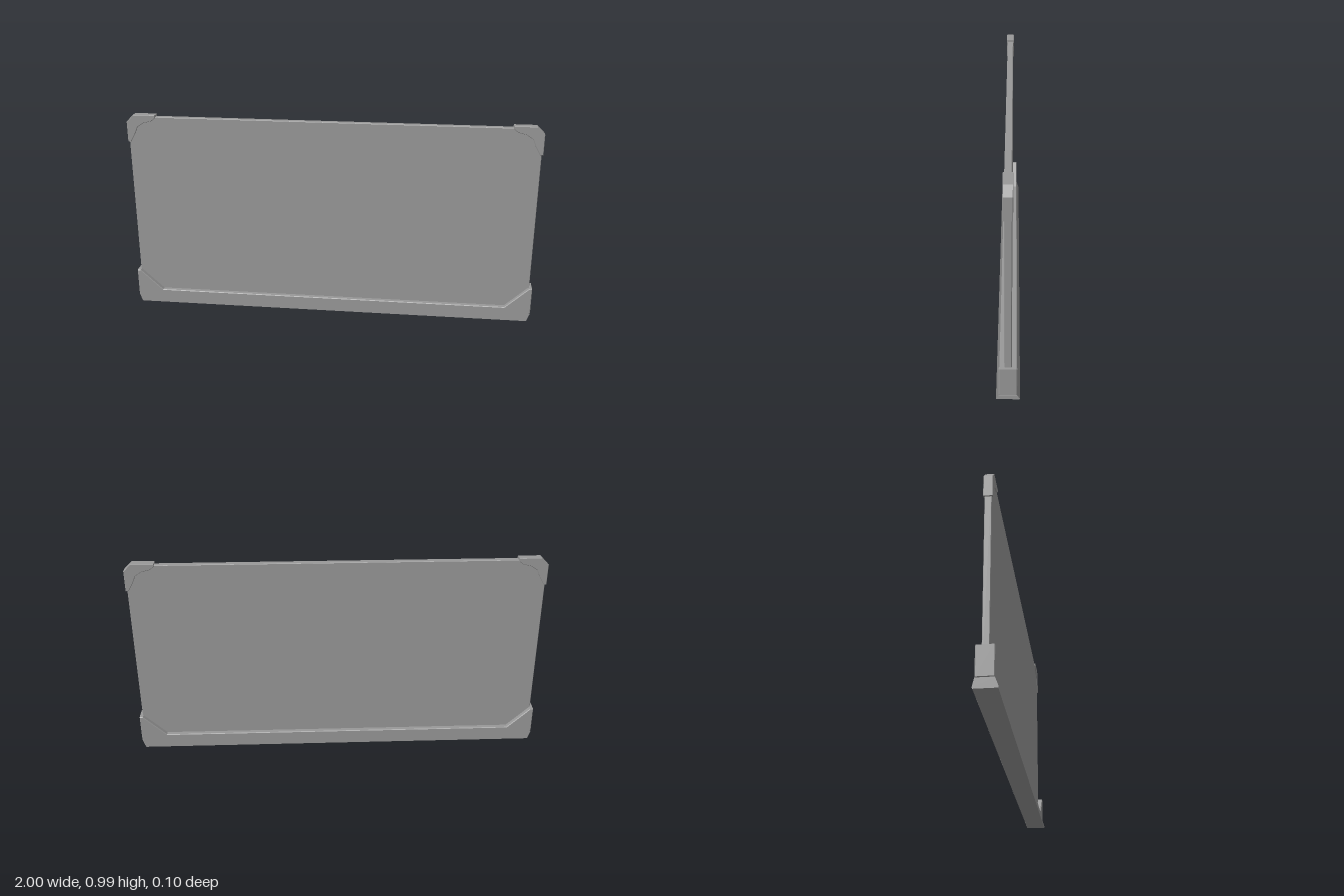
import * as THREE from 'three';

const material = new THREE.MeshStandardMaterial({ color: 0x999999 });

// Plate cut from an outline, centred on z = 0, with a small bevel kept inside the outline
function plate(name, points, thickness, bevel) {
  const shape = new THREE.Shape(points.map(([x, y]) => new THREE.Vector2(x, y)));
  const geometry = new THREE.ExtrudeGeometry(shape, {
    depth: thickness - 2 * bevel,
    bevelEnabled: true,
    bevelThickness: bevel,
    bevelSize: bevel,
    bevelOffset: -bevel,
    bevelSegments: 1,
  });
  geometry.translate(0, 0, -thickness / 2 + bevel);
  const mesh = new THREE.Mesh(geometry, material);
  mesh.name = name;
  return mesh;
}

// Adds the mirrored half of an outline
const mirrored = (half) => [...half, ...half.map(([x, y]) => [-x, y]).reverse()];

export function createModel() {
  const group = new THREE.Group();
  group.name = 'panelOnBase';

  // Thin upright panel, its top corners cut to sit inside the guards
  const panel = [[0.985, 0.02], [0.985, 0.935], [0.945, 0.975]];
  group.add(plate('panel', mirrored(panel), 0.03, 0.002));

  // Base rail with raised ends and sloping inner corners
  const rail = [[0.98, 0.015], [0.998, 0.04], [0.998, 0.17], [0.982, 0.17], [0.87, 0.065]];
  group.add(plate('baseRail', mirrored(rail), 0.076, 0.003));

  // Flared foot: wider in z and shorter in x towards the ground.
  // The box's own normals are kept, so it shades as one surface with the rail.
  const footGeometry = new THREE.BoxGeometry(1, 1, 1, 1, 2, 1);
  const levels = [
    { y: 0, x: 0.978, z: 0.048 },
    { y: 0.005, x: 0.981, z: 0.05 },
    { y: 0.036, x: 0.997, z: 0.038 },
  ];
  const position = footGeometry.attributes.position;
  for (let i = 0; i < position.count; i++) {
    const level = levels[Math.round((position.getY(i) + 0.5) * 2)];
    position.setXYZ(i, Math.sign(position.getX(i)) * level.x, level.y,
      Math.sign(position.getZ(i)) * level.z);
  }
  const foot = new THREE.Mesh(footGeometry, material);
  foot.name = 'flaredFoot';
  group.add(foot);

  // Top corner guards with a chamfered outside and a scalloped inside
  const guard = [
    [0.992, 0.85], [0.992, 0.95], [0.957, 0.985], [0.85, 0.985], [0.85, 0.97],
    [0.87, 0.955], [0.91, 0.945], [0.94, 0.925], [0.955, 0.89], [0.978, 0.85],
  ];
  for (const side of [1, -1]) {
    group.add(plate(side > 0 ? 'leftCornerGuard' : 'rightCornerGuard',
      guard.map(([x, y]) => [side * x, y]), 0.04, 0.002));
  }

  return group;
}
